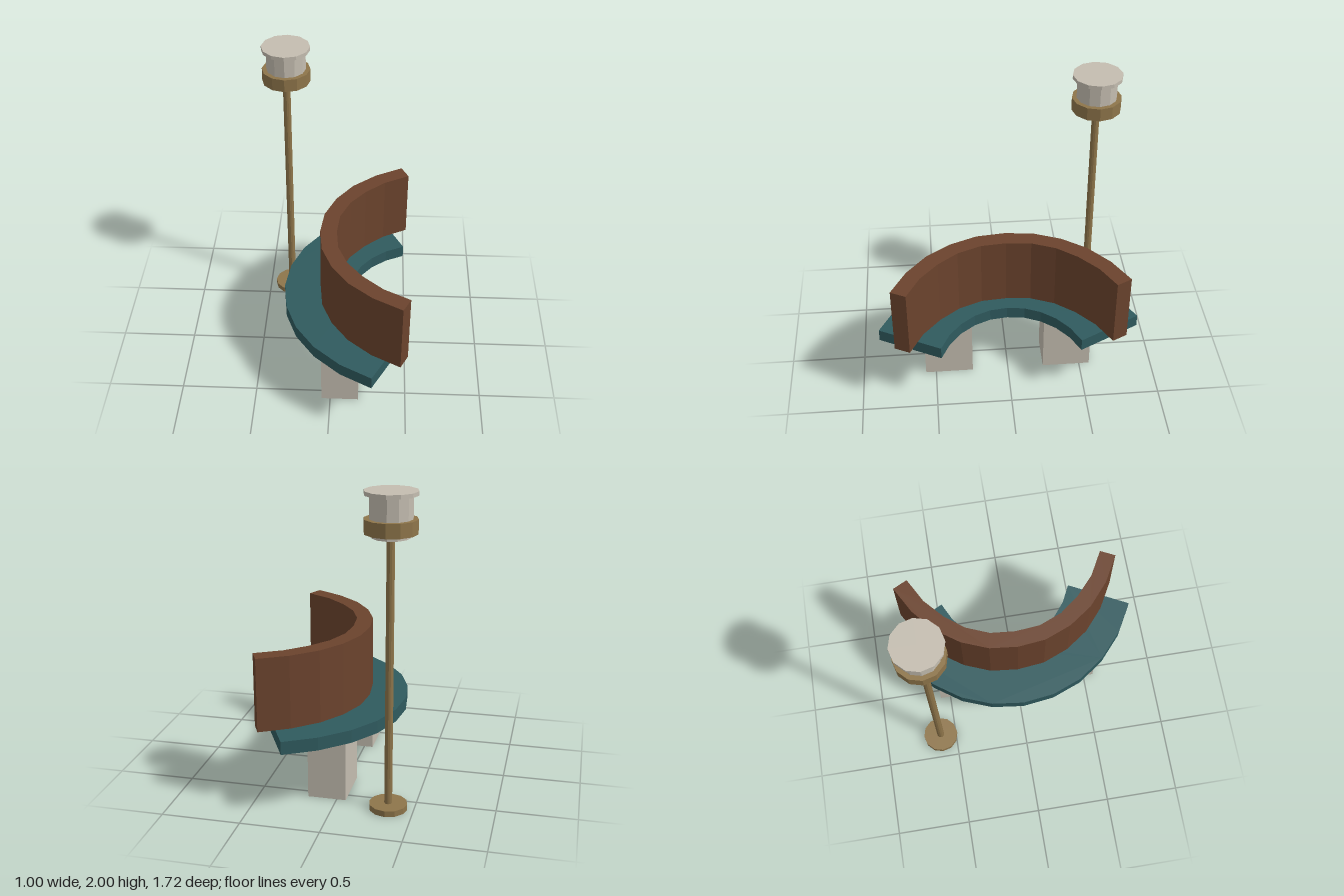
import * as THREE from 'three';

const mat = (name, color) => {
  const m = new THREE.MeshStandardMaterial({ color, flatShading: true });
  m.name = name;
  return m;
};

export function createModel() {
  const stone = mat('stone grey', 0xc4bdb0);
  const teal = mat('teal upholstery', 0x2f5a5e);
  const leather = mat('brown leather', 0x6b432d);
  const brass = mat('aged brass', 0x8e754a);

  const group = new THREE.Group();
  group.name = 'curvedBenchWithLamp';

  function add(parent, name, geometry, material, x, y, z) {
    const mesh = new THREE.Mesh(geometry, material);
    mesh.name = name;
    mesh.position.set(x, y, z);
    parent.add(mesh);
  }

  // Curved slab, symmetric in z, from half outlines running middle to end
  function arcSlab(outer, inner, height) {
    const mirror = pts => pts.slice(1).reverse().map(([x, z]) => [x, -z]).concat(pts);
    const outline = [...mirror(outer), ...mirror(inner).reverse()];
    const shape = new THREE.Shape(outline.map(([x, z]) => new THREE.Vector2(x, z)));
    return new THREE.ExtrudeGeometry(shape, { depth: height, bevelEnabled: false }).rotateX(-Math.PI / 2);
  }

  // Bench seat
  add(group, 'seat', arcSlab(
    [[-0.335, 0], [-0.308, 0.215], [-0.23, 0.417], [-0.103, 0.597], [0.07, 0.75], [0.271, 0.862]],
    [[0.12, 0], [0.135, 0.116], [0.181, 0.222], [0.255, 0.318], [0.355, 0.399], [0.478, 0.459]],
    0.085), teal, 0, 0.413, 0);

  // Bench backrest
  add(group, 'backrest', arcSlab(
    [[-0.09, 0], [-0.07, 0.188], [0.002, 0.367], [0.113, 0.524], [0.267, 0.656], [0.45, 0.757]],
    [[0.02, 0], [0.035, 0.166], [0.099, 0.322], [0.2, 0.452], [0.332, 0.57], [0.498, 0.66]],
    0.477), leather, 0, 0.498, 0);

  // Two block legs
  for (const side of [-1, 1]) {
    add(group, side > 0 ? 'frontLeg' : 'backLeg',
      new THREE.BoxGeometry(0.245, 0.413, 0.325), stone, 0.064, 0.2065, side * 0.408);
  }

  // Floor lamp: stacked twelve-sided discs [name, radius, bottom, top, material]
  const lamp = new THREE.Group();
  lamp.name = 'floorLamp';
  lamp.position.set(-0.34, 0, -0.61);
  group.add(lamp);
  const discs = [
    ['lampBase', 0.12, 0, 0.038, brass],
    ['lampPole', 0.025, 0.038, 1.727, brass],
    ['lampCollar', 0.115, 1.727, 1.752, stone],
    ['lampRing', 0.16, 1.752, 1.838, brass],
    ['lampShade', 0.13, 1.838, 1.975, stone],
    ['lampCap', 0.16, 1.975, 2, stone],
  ];
  for (const [name, r, y0, y1, material] of discs) {
    add(lamp, name, new THREE.CylinderGeometry(r, r, y1 - y0, 12), material, 0, (y0 + y1) / 2, 0);
  }

  return group;
}
